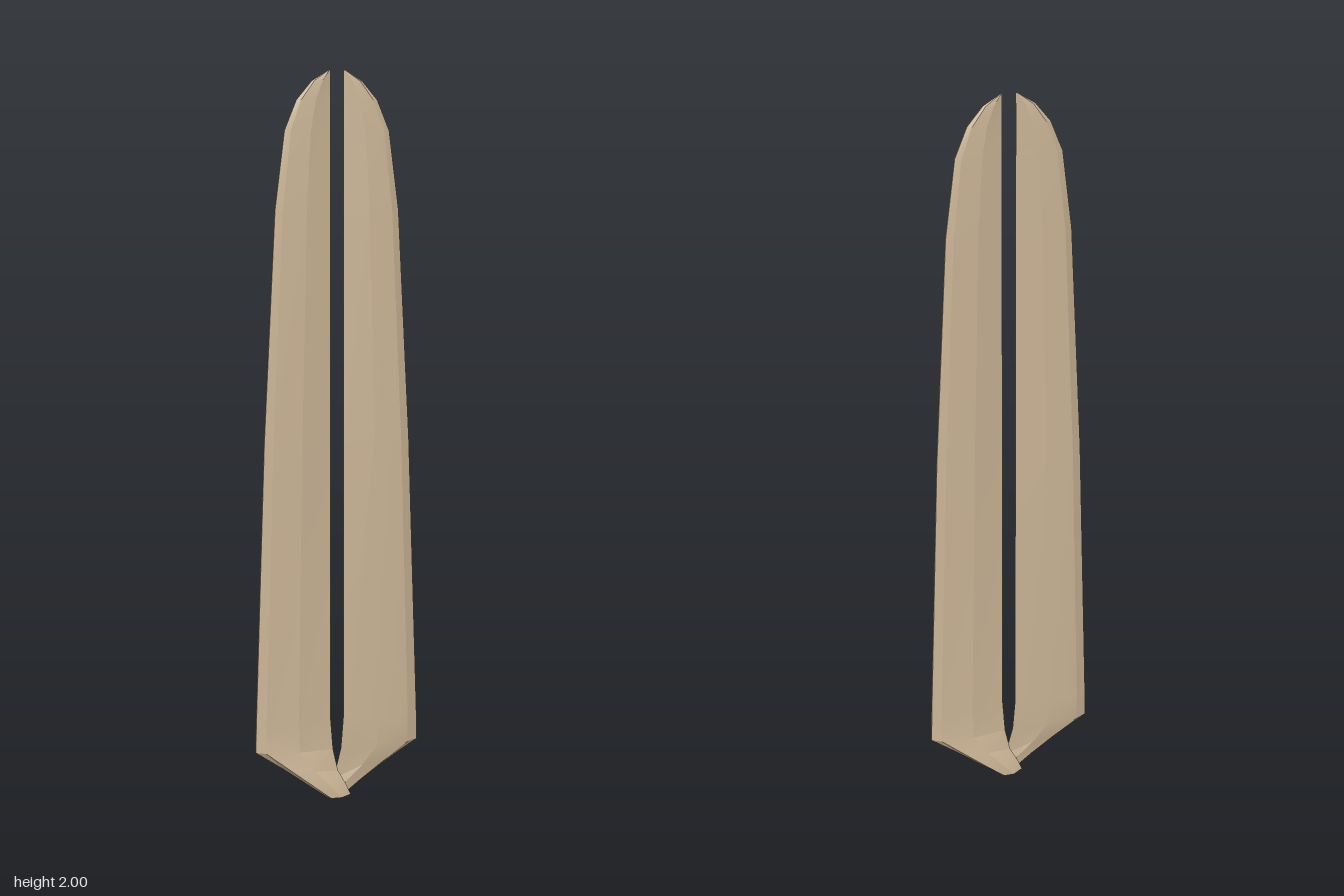
import * as THREE from 'three';
import { toCreasedNormals } from 'three/addons/utils/BufferGeometryUtils.js';

// Stations from root to tip: inner x, inner y, outer x, outer y, z centre, half thickness
const STATIONS = [
  [-0.035, 0.0, 0.035, 0.0, -0.02, 0.02],
  [-0.022, 0.03, 0.085, 0.036, -0.019, 0.02],
  [0.0, 0.07, 0.16, 0.09, -0.012, 0.019],
  [0.012, 0.13, 0.235, 0.14, -0.004, 0.018],
  [0.018, 0.22, 0.232, 0.22, 0, 0.018],
  [0.018, 1.0, 0.205, 1.0, 0, 0.018],
  [0.018, 1.63, 0.172, 1.63, 0, 0.016],
  [0.018, 1.84, 0.145, 1.84, 0, 0.013],
  [0.018, 1.92, 0.112, 1.92, 0, 0.01],
  [0.018, 1.97, 0.07, 1.97, 0, 0.007],
  [0.018, 2.0, 0.024, 1.998, 0, 0.002],
];

// Faceted aerofoil: position along the chord, offset in half thicknesses
const SECTION = [[0, 0.1], [0.45, 1], [0.86, 0.9], [1, 0.1], [1, -0.3], [0.88, -1], [0.45, -1]];

function bladeGeometry() {
  const n = SECTION.length;
  const positions = [];
  const index = [];
  for (const [xi, yi, xo, yo, zc, h] of STATIONS) {
    for (const [t, k] of SECTION) {
      positions.push(xi + (xo - xi) * t, yi + (yo - yi) * t, zc + k * h);
    }
  }
  // Skin between neighbouring sections
  for (let i = 0; i < STATIONS.length - 1; i++) {
    for (let j = 0; j < n; j++) {
      const a = i * n + j;
      const b = i * n + ((j + 1) % n);
      index.push(a, b, b + n, a, b + n, a + n);
    }
  }
  // Root and tip caps
  const top = (STATIONS.length - 1) * n;
  for (let j = 1; j < n - 1; j++) {
    index.push(0, j + 1, j);
    index.push(top, top + j, top + j + 1);
  }
  const geometry = new THREE.BufferGeometry();
  geometry.setAttribute('position', new THREE.Float32BufferAttribute(positions, 3));
  geometry.setIndex(index);
  return toCreasedNormals(geometry, 0.2);
}

export function createModel() {
  const group = new THREE.Group();
  group.name = 'foldedBlades';
  const material = new THREE.MeshStandardMaterial({ color: 0xc8b294 });
  const geometry = bladeGeometry();

  // Two identical blades, half a turn apart
  ['leftBlade', 'rightBlade'].forEach((name, i) => {
    const blade = new THREE.Mesh(geometry, material);
    blade.name = name;
    blade.rotation.y = i * Math.PI;
    group.add(blade);
  });
  return group;
}
